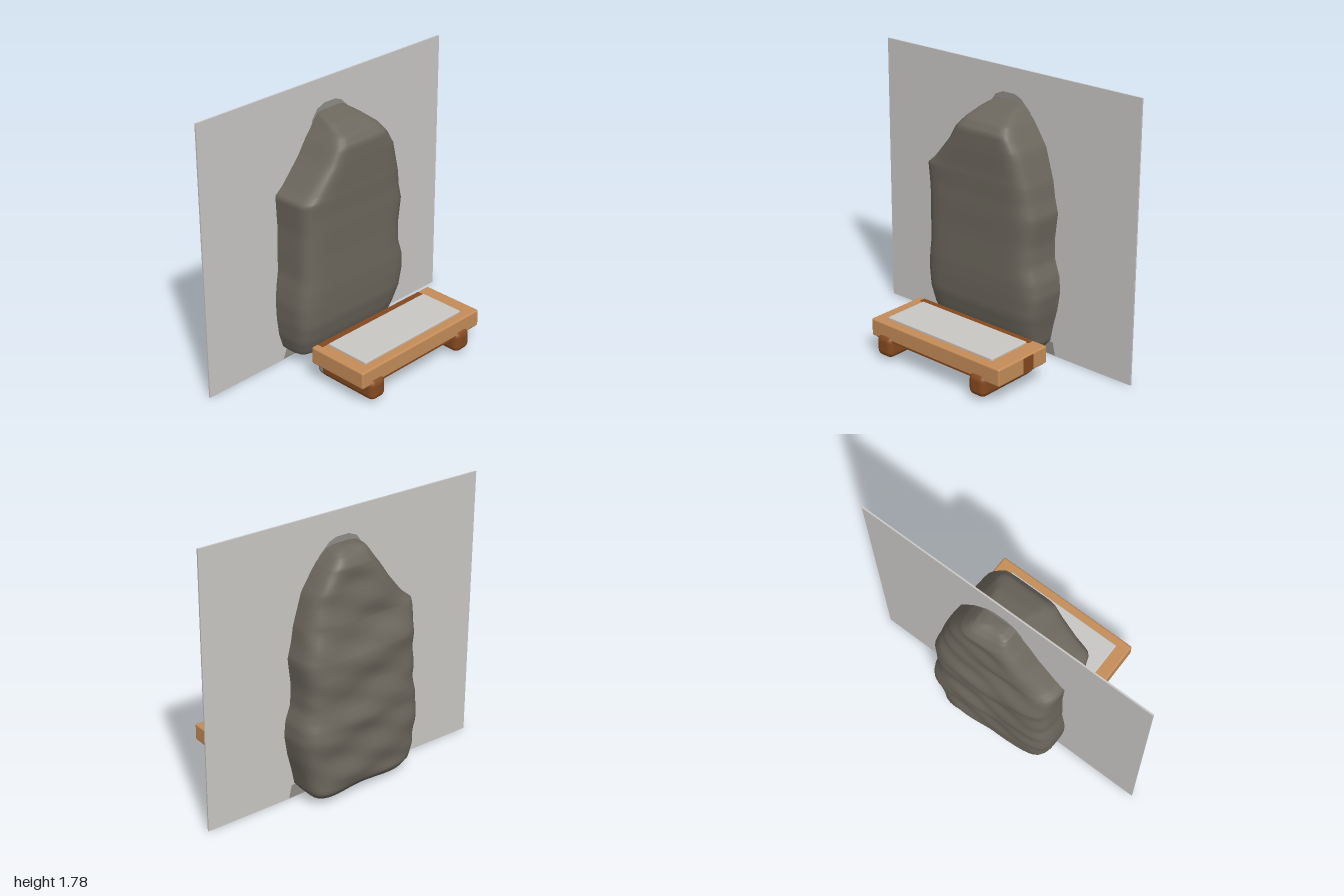
import * as THREE from 'three';
import { RoundedBoxGeometry } from 'three/addons/geometries/RoundedBoxGeometry.js';

const mat = (name, color, side = THREE.FrontSide) => {
  const m = new THREE.MeshStandardMaterial({ color, side });
  m.name = name;
  return m;
};

// Stone sections from bottom to top: y, left edge, right edge, back z, front z
const SECTIONS = [
  [0.015, -0.27, 0.27, -0.40, -0.22],
  [0.05, -0.35, 0.34, -0.46, -0.14],
  [0.10, -0.40, 0.38, -0.50, -0.05],
  [0.20, -0.43, 0.40, -0.51, -0.01],
  [0.32, -0.445, 0.43, -0.51, 0.02],
  [0.45, -0.45, 0.45, -0.515, 0.03],
  [0.55, -0.44, 0.44, -0.52, 0.035],
  [0.65, -0.425, 0.405, -0.505, 0.035],
  [0.78, -0.425, 0.40, -0.50, 0.035],
  [0.95, -0.42, 0.42, -0.51, 0.04],
  [1.05, -0.425, 0.395, -0.485, 0.04],
  [1.15, -0.43, 0.38, -0.46, 0.045],
  [1.20, -0.37, 0.365, -0.455, 0.045],
  [1.35, -0.24, 0.32, -0.45, 0.05],
  [1.45, -0.175, 0.255, -0.44, 0.05],
  [1.50, -0.135, 0.22, -0.43, 0.01],
  [1.55, -0.10, 0.17, -0.40, -0.10],
  [1.575, -0.08, 0.14, -0.37, -0.20],
  [1.587, -0.03, 0.09, -0.34, -0.26],
];

function stoneGeometry() {
  const around = 72, sub = 4, pos = [], idx = [];
  const rows = (SECTIONS.length - 1) * sub;
  for (let r = 0; r <= rows; r++) {
    const k = Math.min(Math.floor(r / sub), SECTIONS.length - 2), f = r / sub - k;
    const [y, x0, x1, z0, z1] = SECTIONS[k].map((v, i) => THREE.MathUtils.lerp(v, SECTIONS[k + 1][i], f));
    for (let j = 0; j < around; j++) {
      const t = (j / around) * Math.PI * 2, c = Math.cos(t), s = Math.sin(t);
      const n = s > 0 ? 8 : 5; // crisper front edges, softer back
      const rad = 1 / Math.pow(Math.abs(c) ** n + Math.abs(s) ** n, 1 / n);
      const x = (x0 + x1) / 2 + ((x1 - x0) / 2) * c * rad;
      let z = (z0 + z1) / 2 + ((z1 - z0) / 2) * s * rad;
      // back face leans across its width and has shallow waves
      if (s < 0) z += -s * (0.025 - 0.06 * x + 0.008 * Math.sin(y * 19 + x * 7) + 0.006 * Math.sin(y * 33 - x * 13));
      pos.push(x, y, z);
    }
  }
  for (let r = 0; r < rows; r++) for (let j = 0; j < around; j++) {
    const a = r * around + j, b = r * around + ((j + 1) % around);
    idx.push(a, a + around, b, b, a + around, b + around);
  }
  // closing fans
  const last = rows * around, bottom = pos.length / 3, top = bottom + 1;
  pos.push(0, 0.012, -0.31, 0.03, 1.59, -0.3);
  for (let j = 0; j < around; j++) {
    const n = (j + 1) % around;
    idx.push(bottom, j, n, top, last + n, last + j);
  }
  const g = new THREE.BufferGeometry();
  g.setAttribute('position', new THREE.Float32BufferAttribute(pos, 3));
  g.setIndex(idx);
  g.computeVertexNormals();
  return g;
}

export function createModel() {
  const model = new THREE.Group();
  const stoneMat = mat('stone grey', 0x6d685e);
  const panelMat = mat('pale grey', 0xc9c7c4);
  const shadeMat = mat('mid grey', 0x8f8c87, THREE.DoubleSide);
  const wood = mat('light wood', 0xc48c58);
  const darkWood = mat('dark wood', 0x84491f);

  const add = (name, geo, material, x = 0, y = 0, z = 0, parent = model) => {
    const m = new THREE.Mesh(geo, material);
    m.name = name;
    m.position.set(x, y, z);
    parent.add(m);
    return m;
  };
  // box given by its limits, rounded when r > 0
  const block = (name, material, [x0, x1], [y0, y1], [z0, z1], r = 0, parent = model) => {
    const d = [x1 - x0, y1 - y0, z1 - z0];
    const g = r ? new RoundedBoxGeometry(...d, 4, r) : new THREE.BoxGeometry(...d);
    return add(name, g, material, (x0 + x1) / 2, (y0 + y1) / 2, (z0 + z1) / 2, parent);
  };

  // Standing stone and the thin panel through it
  add('standingStone', stoneGeometry(), stoneMat);
  block('backPanel', panelMat, [-1, 1], [0, 1.785], [-0.25, -0.24]);

  // Grey stains on the panel around the top and foot of the stone
  const cap = new THREE.Shape([[-0.13, 1.53], [0.2, 1.53], [0.12, 1.605], [0.07, 1.625], [-0.02, 1.625], [-0.08, 1.6]]
    .map(([x, y]) => new THREE.Vector2(x, y)));
  const foot = new THREE.Shape([[-0.4, 0.005], [0.42, 0.005], [0.4, 0.09], [-0.36, 0.09]]
    .map(([x, y]) => new THREE.Vector2(x, y)));
  for (const z of [-0.238, -0.252]) {
    add('panelStainTop', new THREE.ShapeGeometry(cap), shadeMat, 0, 0, z);
    add('panelStainFoot', new THREE.ShapeGeometry(foot), shadeMat, 0, 0, z);
  }

  // Wooden tray in front
  const tray = new THREE.Group();
  tray.name = 'tray';
  model.add(tray);
  block('trayBoard', wood, [-0.445, 0.603], [0.132, 0.246], [0.065, 0.497], 0.012, tray);
  block('trayInset', panelMat, [-0.36, 0.495], [0.235, 0.26], [0.125, 0.437], 0.006, tray);
  block('trayBackStain', darkWood, [-0.40, 0.50], [0.243, 0.249], [0.075, 0.115], 0, tray);
  block('trayFrontStain', darkWood, [-0.33, 0.46], [0.134, 0.146], [0.49, 0.499], 0, tray);
  block('trayUnderside', darkWood, [-0.42, 0.58], [0.127, 0.135], [0.08, 0.485], 0, tray);
  block('traySideStain', darkWood, [0.598, 0.605], [0.14, 0.238], [0.19, 0.28], 0, tray);

  // Two rounded rails under the tray, with pale back ends
  for (const x of [-0.325, 0.438]) {
    block('rail', darkWood, [x - 0.064, x + 0.064], [0.025, 0.165], [0.075, 0.52], 0.04, tray);
    block('railBackEnd', shadeMat, [x - 0.063, x + 0.063], [0.026, 0.164], [0.045, 0.14], 0.04, tray);
  }
  return model;
}
